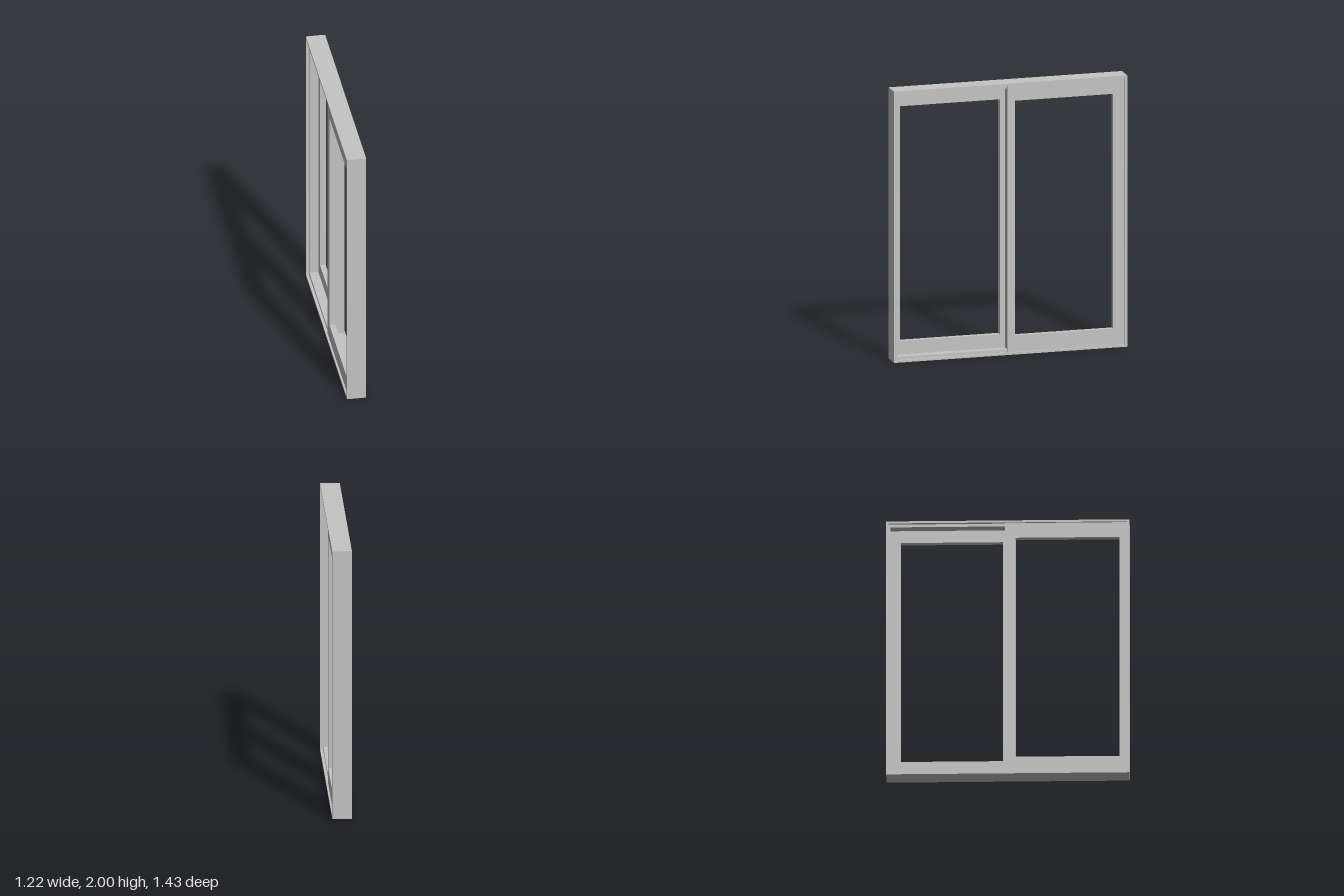
import * as THREE from 'three';

const WIDTH = 1.744, HEIGHT = 2, DEPTH = 0.141;

// Rectangular outline from x0,y0 to x1,y1
function rect(Type, x0, x1, y0, y1) {
  return new Type([
    new THREE.Vector2(x0, y0), new THREE.Vector2(x1, y0),
    new THREE.Vector2(x1, y1), new THREE.Vector2(x0, y1),
  ]);
}

// Rectangular ring: outer and inner are [x0, x1, y0, y1], running from z0 to z1
function ring(name, material, outer, inner, z0, z1) {
  const shape = rect(THREE.Shape, ...outer);
  shape.holes.push(rect(THREE.Path, ...inner));
  const geometry = new THREE.ExtrudeGeometry(shape, { depth: z1 - z0, bevelEnabled: false });
  geometry.translate(0, 0, z0);
  const mesh = new THREE.Mesh(geometry, material);
  mesh.name = name;
  return mesh;
}

function box(name, material, x0, x1, y0, y1, z0, z1) {
  const geometry = new THREE.BoxGeometry(x1 - x0, y1 - y0, z1 - z0);
  geometry.translate((x0 + x1) / 2, (y0 + y1) / 2, (z0 + z1) / 2);
  const mesh = new THREE.Mesh(geometry, material);
  mesh.name = name;
  return mesh;
}

export function createModel() {
  const grey = new THREE.MeshStandardMaterial({ color: 0xc4c4c4 });
  grey.name = 'light grey';

  const model = new THREE.Group();
  model.name = 'slidingWindow';
  const w = WIDTH / 2, d = DEPTH / 2;

  // Outer frame with a thin lip, and the thicker ledge set back inside it
  const lip = [-w + 0.018, w - 0.018, 0.016, HEIGHT - 0.016];
  const ledge = [-w + 0.03, w - 0.03, 0.038, HEIGHT - 0.038];
  model.add(ring('outerFrame', grey, [-w, w, 0, HEIGHT], lip, -d, d));
  model.add(ring('frameLedge', grey, lip, ledge, -0.05, 0.05));

  // Two equal sashes on separate tracks, overlapping at the middle
  const sashes = [
    { name: 'rearSash', x0: -w + 0.018, x1: 0.022, open: [-0.769, -0.036], z0: -0.0574, z1: -0.016 },
    { name: 'frontSash', x0: -0.022, x1: w - 0.018, open: [0.056, 0.802], z0: 0.016, z1: 0.0574 },
  ];
  for (const s of sashes) {
    model.add(ring(s.name, grey, [s.x0, s.x1, 0.016, HEIGHT - 0.016],
      [...s.open, 0.137, 1.868], s.z0, s.z1));
  }

  // Interlocking hooks between the meeting stiles
  model.add(box('rearInterlock', grey, 0.004, 0.022, 0.038, HEIGHT - 0.038, -0.017, 0.002));
  model.add(box('frontInterlock', grey, -0.022, -0.004, 0.038, HEIGHT - 0.038, -0.002, 0.017));

  // The window stands turned about the upright axis
  model.rotation.y = -THREE.MathUtils.degToRad(50.27);
  const root = new THREE.Group();
  root.name = 'window';
  root.add(model);
  return root;
}
